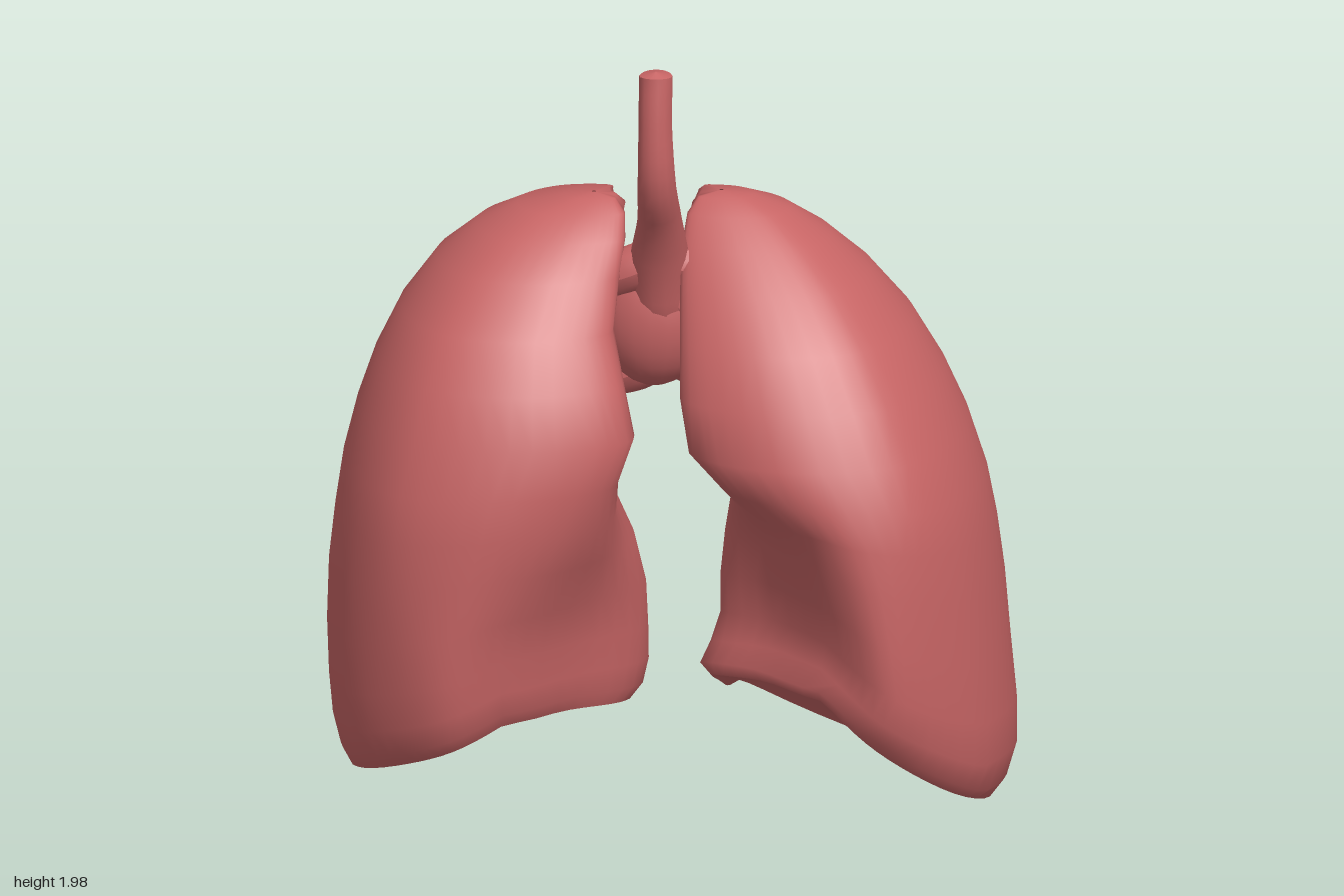
import * as THREE from 'three';

const tissue = new THREE.MeshStandardMaterial({ color: 0xc66464 });
tissue.name = 'tissue';
tissue.side = THREE.DoubleSide;

const COLS = 56;
const { lerp, smoothstep } = THREE.MathUtils;
const clamp = (v) => Math.min(1, Math.max(0, v));

// Skin a stack of closed rings, ordered from low to high.
function skin(rings, side) {
  const pos = rings.flat().flatMap((p) => [p.x, p.y, p.z]);
  const index = [];
  for (let i = 0; i < rings.length - 1; i++) {
    for (let j = 0; j < COLS; j++) {
      const k = (j + 1) % COLS;
      const a = i * COLS + j, b = i * COLS + k, c = a + COLS, d = b + COLS;
      if (side > 0) index.push(a, c, b, b, c, d);
      else index.push(a, b, c, b, d, c);
    }
  }
  const g = new THREE.BufferGeometry();
  g.setAttribute('position', new THREE.Float32BufferAttribute(pos, 3));
  g.setIndex(index);
  g.computeVertexNormals();
  return g;
}

function addMesh(group, name, geometry) {
  const m = new THREE.Mesh(geometry, tissue);
  m.name = name;
  group.add(m);
  return m;
}

// Height of the lower rim: high at the front inner corner, low at the outer back.
function rimHeight(x, z, { rise, outerLift }) {
  const front = 0.06 + rise * clamp((0.8 - x) / 0.4);
  const back = -0.01 + 0.2 * clamp((0.8 - x) / 0.7) ** 2;
  return lerp(back, front, smoothstep(z, -0.38, 0.3)) + outerLift * smoothstep(x, 0.3, 0.82);
}

// One horizontal section: [height, inner x, outer x, back z, front z, notch, hilum dent].
// The notch cuts the front inner corner off diagonally.
function section([y, xi, xo, zb, zf, n, h], side, shape) {
  const b = shape.backInset;
  const outline = [
    [b + 0.02, -0.95], [b + 0.2, -1], [0.65, -0.86], [0.91, -0.42], [1, 0.08],
    [0.93, 0.58], [0.76, 0.89], [lerp(0.42, 0.62, n), 1],
    [lerp(0.12, 0.47, n), 0.88], [lerp(0, 0.23, n), lerp(0.72, 0.48, n)],
    [lerp(0.02 + h * 0.4, 0.04, n), lerp(0.4, 0.2, n)],
    [0.02 + h, -0.06], [b * 0.8 + h, -0.33], [b + h * 0.4, -0.7],
  ];
  const mid = (zb + zf) / 2, half = (zf - zb) / 2;
  const curve = new THREE.CatmullRomCurve3(outline.map(([u, w]) =>
    new THREE.Vector3(lerp(xi, xo, u), 0, mid + w * half)), true, 'centripetal');
  return Array.from({ length: COLS }, (_, j) => {
    const p = curve.getPoint(j / COLS);
    p.y = y + rimHeight(p.x, p.z, shape) * clamp(1 - y);
    p.x *= side;
    return p;
  });
}

function makeLung(name, side, shape, levels) {
  const lung = new THREE.Group();
  lung.name = name;
  const rings = levels.map((r) => section(r, side, shape));
  addMesh(lung, name + 'Body', skin(rings, side));

  // Hollow underside that domes up towards the middle
  const rim = rings[0];
  const centre = new THREE.Vector3();
  rim.forEach((p) => centre.addScaledVector(p, 1 / COLS));
  const base = [0.001, 0.3, 0.55, 0.75, 0.9, 1].map((s) => rim.map((p) => {
    const q = centre.clone().lerp(p, s);
    q.y += 0.09 * (1 - s ** 3);
    return q;
  }));
  addMesh(lung, name + 'Base', skin(base, side));
  return lung;
}

// Tube whose radius varies along its path; points are [x, y, z, radius].
function taperedTube(points) {
  const path = new THREE.CatmullRomCurve3(points.map((p) => new THREE.Vector3(p[0], p[1], p[2])));
  const steps = 20, sides = 14;
  const g = new THREE.TubeGeometry(path, steps, 1, sides, false);
  const pos = g.attributes.position, v = new THREE.Vector3();
  for (let i = 0; i <= steps; i++) {
    const c = path.getPointAt(i / steps);
    const t = path.getUtoTmapping(i / steps) * (points.length - 1);
    const k = Math.min(points.length - 2, Math.floor(t));
    const r = lerp(points[k][3], points[k + 1][3], t - k);
    for (let j = 0; j <= sides; j++) {
      const id = i * (sides + 1) + j;
      v.fromBufferAttribute(pos, id).sub(c).multiplyScalar(r).add(c);
      pos.setXYZ(id, v.x, v.y, v.z);
    }
  }
  g.computeVertexNormals();
  return g;
}

export function createModel() {
  const model = new THREE.Group();
  model.name = 'lungs';

  // Left lung, with a deep notch low on its front inner side
  model.add(makeLung('leftLung', 1, { rise: 0.33, outerLift: 0, backInset: 0.05 }, [
    [0.00, 0.08, 0.80, -0.40, 0.46, 0.9, 0],
    [0.05, 0.05, 0.835, -0.46, 0.49, 0.9, 0],
    [0.14, 0.07, 0.86, -0.50, 0.51, 1.0, 0.02],
    [0.26, 0.09, 0.86, -0.52, 0.52, 1.0, 0.05],
    [0.42, 0.09, 0.845, -0.53, 0.53, 0.95, 0.08],
    [0.60, 0.10, 0.83, -0.53, 0.53, 0.8, 0.12],
    [0.75, 0.11, 0.81, -0.53, 0.53, 0.6, 0.15],
    [0.88, 0.10, 0.785, -0.525, 0.525, 0.25, 0.17],
    [1.02, 0.06, 0.74, -0.51, 0.50, 0, 0.17],
    [1.15, 0.035, 0.68, -0.47, 0.45, 0, 0.15],
    [1.28, 0.03, 0.60, -0.41, 0.375, 0, 0.11],
    [1.40, 0.025, 0.495, -0.32, 0.27, 0, 0.06],
    [1.49, 0.025, 0.39, -0.23, 0.18, 0, 0.04],
    [1.555, 0.035, 0.29, -0.14, 0.10, 0, 0],
    [1.59, 0.06, 0.20, -0.06, 0.05, 0, 0],
    [1.597, 0.11, 0.12, -0.005, 0.005, 0, 0],
  ]));

  // Right lung, slightly wider, its front edge receding steadily downwards
  model.add(makeLung('rightLung', -1, { rise: 0.24, outerLift: 0.06, backInset: 0.15 }, [
    [0.00, 0.10, 0.81, -0.38, 0.46, 0.9, 0],
    [0.05, 0.07, 0.835, -0.45, 0.49, 0.9, 0],
    [0.14, 0.055, 0.855, -0.48, 0.51, 0.9, 0],
    [0.26, 0.05, 0.865, -0.50, 0.52, 0.9, 0.01],
    [0.42, 0.05, 0.87, -0.52, 0.53, 0.8, 0.02],
    [0.60, 0.07, 0.865, -0.52, 0.53, 0.5, 0.04],
    [0.75, 0.10, 0.85, -0.52, 0.53, 0.25, 0.07],
    [0.90, 0.11, 0.83, -0.52, 0.52, 0.08, 0.09],
    [1.05, 0.08, 0.795, -0.50, 0.49, 0, 0.11],
    [1.18, 0.11, 0.75, -0.46, 0.44, 0, 0.10],
    [1.30, 0.14, 0.69, -0.41, 0.36, 0, 0.08],
    [1.42, 0.13, 0.60, -0.33, 0.26, 0, 0.06],
    [1.50, 0.12, 0.50, -0.25, 0.18, 0, 0.04],
    [1.55, 0.125, 0.40, -0.16, 0.10, 0, 0],
    [1.58, 0.15, 0.28, -0.06, 0.05, 0, 0],
    [1.585, 0.20, 0.21, -0.005, 0.005, 0, 0],
  ]));

  // Windpipe, bending back as it goes down, with an oblique end
  addMesh(model, 'windpipe', taperedTube([
    [-0.03, 1.985, 0.27, 0.042], [-0.03, 1.85, 0.285, 0.042], [-0.027, 1.70, 0.275, 0.048],
    [-0.025, 1.58, 0.20, 0.056], [-0.03, 1.46, 0.13, 0.075], [-0.03, 1.32, 0.09, 0.075],
    [-0.03, 1.2, 0.06, 0.05],
  ]));
  const cap = addMesh(model, 'windpipeTop', new THREE.ConeGeometry(0.042, 0.014, 14));
  cap.position.set(-0.03, 1.99, 0.27);
  cap.rotation.x = 0.12;

  // Paired airways and vessels running into the inner face of each lung
  for (const s of [-1, 1]) {
    const name = s > 0 ? 'left' : 'right';
    addMesh(model, name + 'Airway', taperedTube([
      [-0.03, 1.40, 0.10, 0.07], [-0.02 + s * 0.07, 1.30, 0.07, 0.07], [s * 0.24, 1.20, 0.02, 0.05],
    ]));
    addMesh(model, name + 'UpperVessel', taperedTube([
      [-0.03, 1.45, 0.11, 0.06], [s * 0.10, 1.42, 0.11, 0.06], [s * 0.24, 1.36, 0.08, 0.05],
    ]));
    addMesh(model, name + 'LowerVessel', taperedTube([
      [-0.02, 1.18, 0.03, 0.06], [s * 0.10, 1.13, 0.02, 0.06], [s * 0.26, 1.08, 0, 0.05],
    ]));
  }

  // Soft web of tissue joining the two roots
  const web = addMesh(model, 'rootTissue', new THREE.SphereGeometry(1, 20, 14));
  web.scale.set(0.14, 0.18, 0.11);
  web.position.set(-0.05, 1.28, 0.06);

  return model;
}
